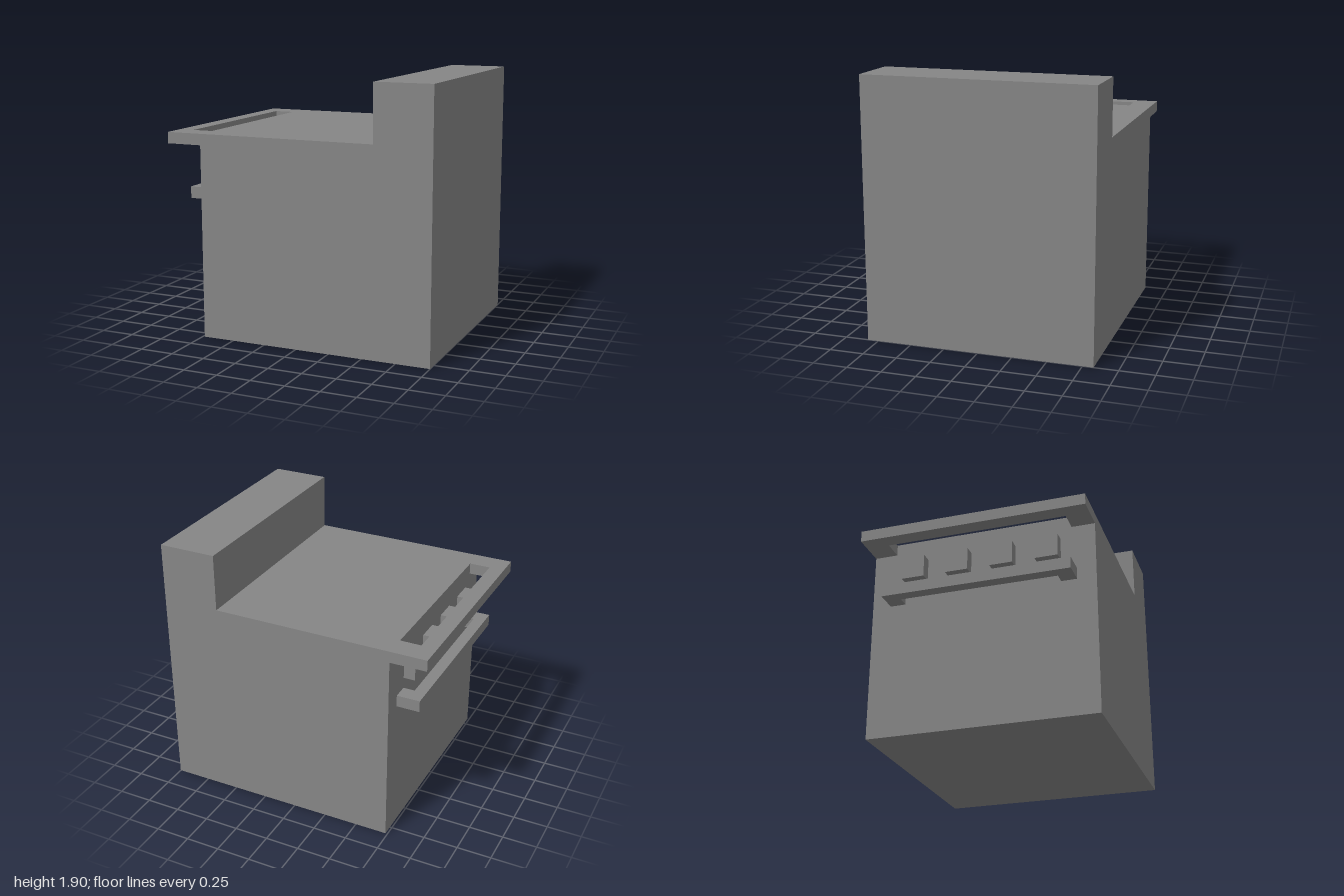
import * as THREE from 'three';

export function createModel() {
  const group = new THREE.Group();
  const grey = new THREE.MeshStandardMaterial({ color: 0x868686 });
  grey.name = 'grey';

  const add = (name, geometry) => {
    const mesh = new THREE.Mesh(geometry, grey);
    mesh.name = name;
    group.add(mesh);
    return mesh;
  };

  // Box given by its limits on each axis
  const block = (name, [x0, x1], [y0, y1], [z0, z1]) =>
    add(name, new THREE.BoxGeometry(x1 - x0, y1 - y0, z1 - z0))
      .position.set((x0 + x1) / 2, (y0 + y1) / 2, (z0 + z1) / 2);

  // Flat plan outline (x, z) raised from y0 to y1
  const slab = (name, shape, y0, y1) => {
    const geometry = new THREE.ExtrudeGeometry(shape, { depth: y1 - y0, bevelEnabled: false });
    geometry.rotateX(-Math.PI / 2);
    add(name, geometry).position.y = y0;
  };
  const points = (list) => list.map(([x, z]) => new THREE.Vector2(x, z));

  const wall = -0.735; // face of the body carrying the knobs
  const half = 0.828; // half depth

  // Body and tall end panel
  block('body', [wall, 0.58], [0, 1.41], [-half, half]);
  block('tallPanel', [0.58, 1], [0, 1.905], [-half, half]);

  // Worktop with a long slot above the knobs
  const top = new THREE.Shape(points([[-1, -half], [0.58, -half], [0.58, half], [-1, half]]));
  top.holes.push(new THREE.Path(points([[-0.888, -0.66], [-0.888, 0.66], [wall, 0.66], [wall, -0.66]])));
  slab('worktop', top, 1.41, 1.492);

  // Row of four square knobs
  for (const z of [-0.495, -0.165, 0.165, 0.495]) {
    block('knob', [-0.818, wall], [1.16, 1.328], [z - 0.083, z + 0.083]);
  }

  // U-shaped rail handle
  slab('railHandle', new THREE.Shape(points([
    [wall, -0.69], [wall, -0.577], [-0.818, -0.577], [-0.818, 0.577],
    [wall, 0.577], [wall, 0.69], [-0.903, 0.69], [-0.903, -0.69],
  ])), 0.995, 1.08);

  return group;
}
